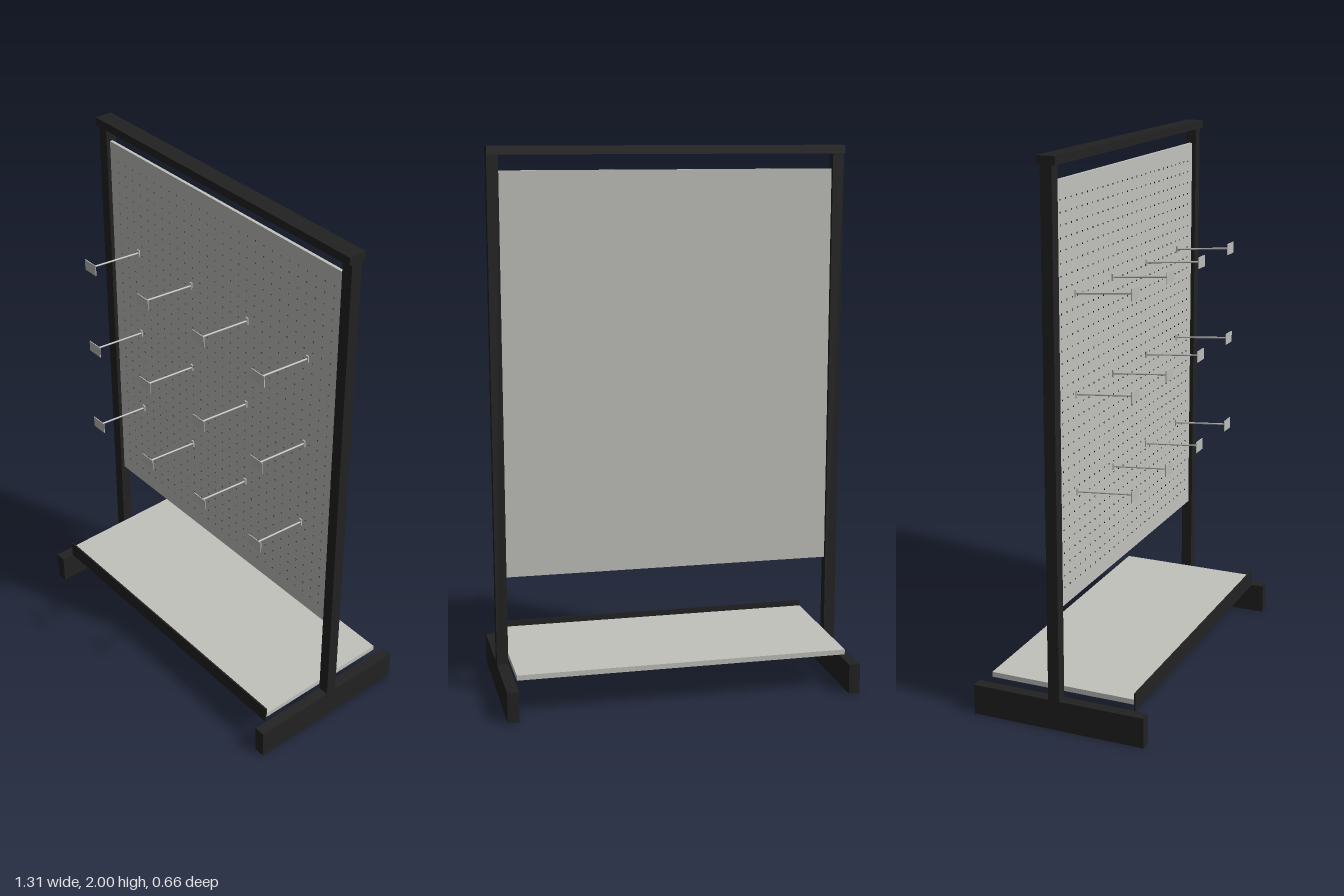
import * as THREE from 'three';
import { mergeGeometries } from 'three/addons/utils/BufferGeometryUtils.js';

const mat = (name, color, extra = {}) => {
  const m = new THREE.MeshStandardMaterial({ color, ...extra });
  m.name = name;
  return m;
};

export function createModel() {
  const root = new THREE.Group();
  root.name = 'displayStand';
  const black = mat('frameBlack', 0x222222);
  const grey = mat('panelGrey', 0xc2c2bd);
  const steel = mat('hookGrey', 0xbcbcba);
  const dark = mat('holeBlack', 0x111111);

  const add = (name, geo, m, x, y, z, parent = root) => {
    const mesh = new THREE.Mesh(geo, m);
    mesh.name = name;
    mesh.position.set(x, y, z);
    parent.add(mesh);
    return mesh;
  };
  const box = (name, m, w, h, d, x, y, z, parent) =>
    add(name, new THREE.BoxGeometry(w, h, d), m, x, y, z, parent);

  // Frame: feet, posts and top beam
  const frameZ = -0.012;
  for (const [side, s] of [['left', 1], ['right', -1]]) {
    box(side + 'Foot', black, 0.042, 0.112, 0.656, s * 0.634, 0.056, 0);
    box(side + 'Post', black, 0.042, 1.858, 0.042, s * 0.634, 1.041, frameZ);
  }
  box('topBeam', black, 1.31, 0.03, 0.066, 0, 1.985, frameZ);

  // Perforated panel
  const panelFront = frameZ + 0.006;
  box('panel', grey, 1.226, 1.475, 0.012, 0, 1.1775, frameZ);

  // Tiny hole rims on the front of the panel
  const rims = [];
  const step = 0.042;
  for (let i = 0; i < 28; i++) {
    for (let j = 0; j < 33; j++) {
      const g = new THREE.CylinderGeometry(0.003, 0.003, 0.003, 6, 1, true);
      g.rotateX(Math.PI / 2);
      g.translate((i - 13.5) * step, 1.1775 + (j - 16) * step, panelFront + 0.0015);
      rims.push(g);
    }
  }
  add('panelHoles', mergeGeometries(rims), dark, 0, 0, 0);

  // Hooks: sloping rod, small base and label plate at the tip
  const start = new THREE.Vector3(0, -0.018, panelFront);
  const tip = new THREE.Vector3(0, 0, 0.213);
  const rodLength = start.distanceTo(tip);
  const tilt = Math.atan2(tip.z - start.z, tip.y - start.y);
  for (const y of [0.84, 1.19, 1.54]) {
    for (const x of [-0.46, -0.153, 0.153, 0.46]) {
      const hook = new THREE.Group();
      hook.name = 'hook';
      hook.position.set(x, y, 0);
      const rod = add('hookRod', new THREE.CylinderGeometry(0.0035, 0.0035, rodLength, 8), steel, 0, 0, 0, hook);
      rod.position.copy(start).add(tip).multiplyScalar(0.5);
      rod.rotation.x = tilt;
      box('hookBase', steel, 0.012, 0.026, 0.005, 0, -0.018, panelFront + 0.0025, hook);
      box('labelPlate', steel, 0.064, 0.042, 0.003, 0, 0, 0.213, hook);
      root.add(hook);
    }
  }

  // Bottom shelf with front lip
  box('shelf', grey, 1.226, 0.019, 0.55, 0, 0.1445, 0);
  box('shelfLip', black, 1.226, 0.064, 0.006, 0, 0.144, 0.277);

  return root;
}
